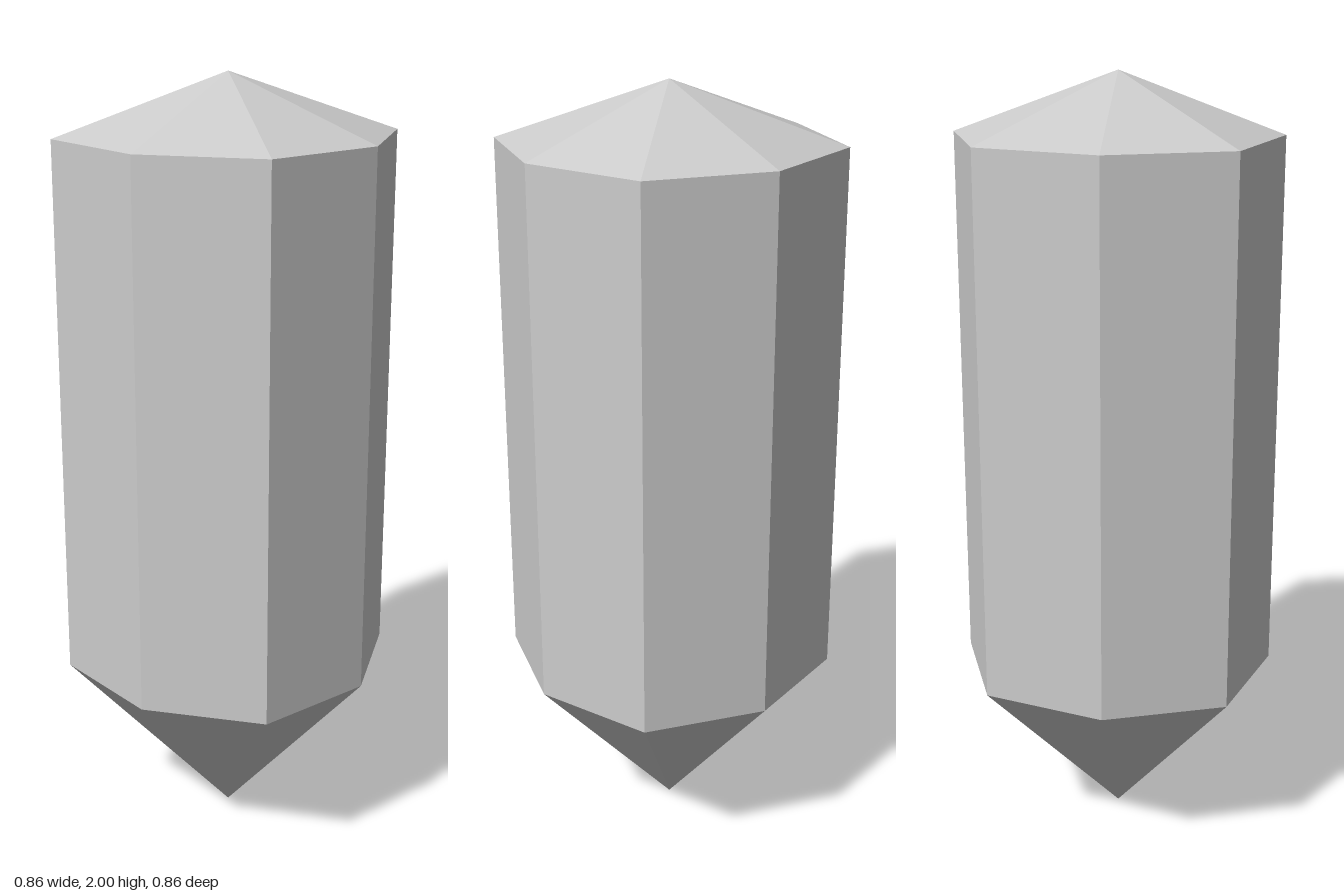
import * as THREE from 'three';

const RADIUS = 0.432;   // corners on the x and z axes
const DIAGONAL = 0.943; // diagonal corners sit slightly closer in
const TIP = 0, LOWER_RIM = 0.465, UPPER_RIM = 1.85, APEX = 2;

const material = new THREE.MeshStandardMaterial({ color: 0xcccccc, flatShading: true });

// One eight-sided open section between two heights
function section(name, bottomRadius, topRadius, y0, y1) {
  const geometry = new THREE.CylinderGeometry(topRadius, bottomRadius, y1 - y0, 8, 1, true);
  geometry.translate(0, (y0 + y1) / 2, 0);
  // Draw in the four diagonal corners
  const p = geometry.attributes.position;
  for (let i = 0; i < p.count; i++) {
    const x = p.getX(i), z = p.getZ(i);
    if (Math.abs(x * z) > 1e-4) p.setXYZ(i, x * DIAGONAL, p.getY(i), z * DIAGONAL);
  }
  geometry.computeVertexNormals();
  const mesh = new THREE.Mesh(geometry, material);
  mesh.name = name;
  return mesh;
}

export function createModel() {
  const crystal = new THREE.Group();
  crystal.name = 'crystal';
  crystal.add(
    section('lowerPoint', 0, RADIUS, TIP, LOWER_RIM),
    section('shaft', RADIUS, RADIUS, LOWER_RIM, UPPER_RIM),
    section('upperCap', RADIUS, 0, UPPER_RIM, APEX)
  );
  return crystal;
}
